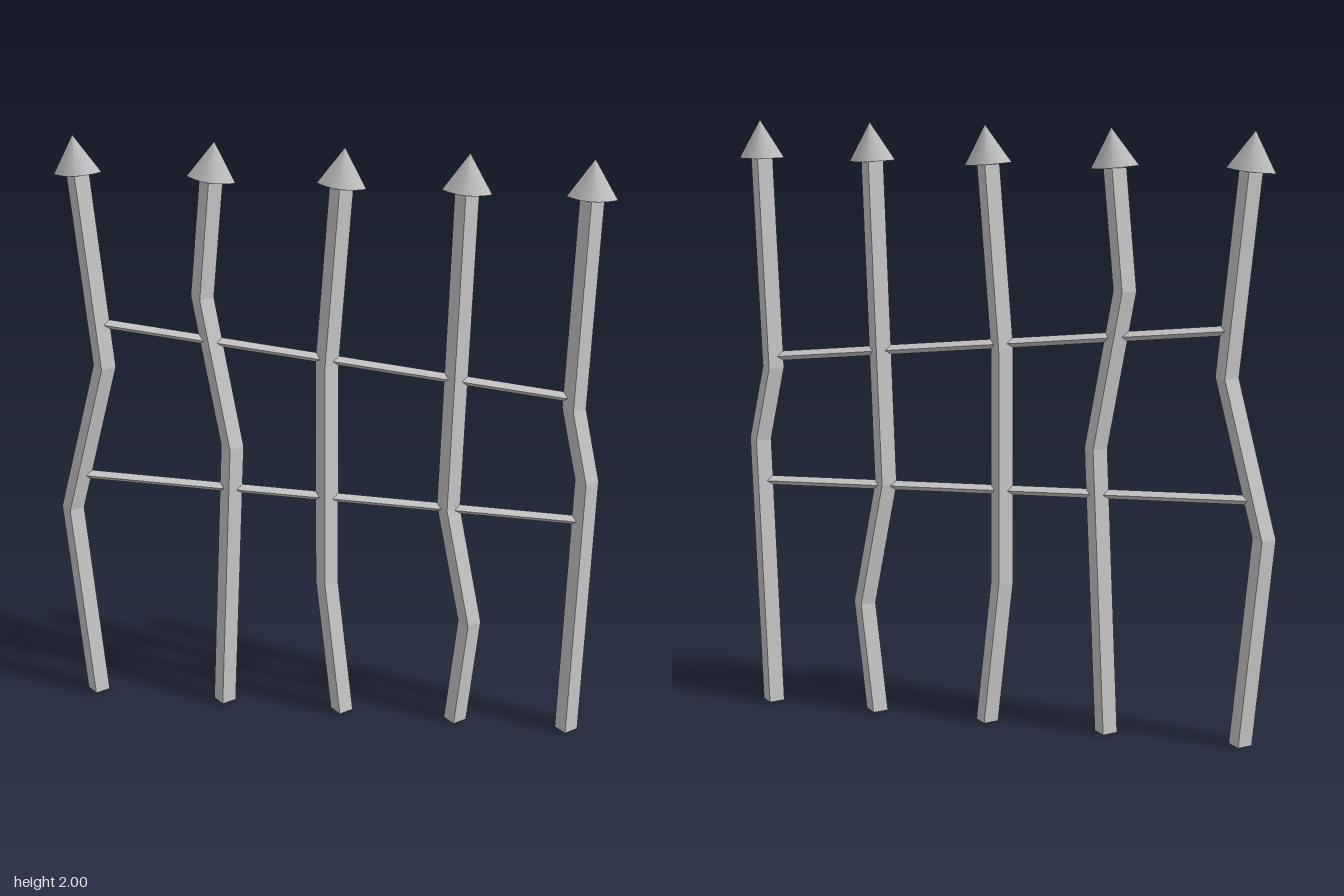
import * as THREE from 'three';
import { toCreasedNormals } from 'three/addons/utils/BufferGeometryUtils.js';

// Closed solid through rings of points (each counterclockwise seen from above).
function loft(rings) {
  const pos = [];
  const tri = (a, b, c) => {
    const area = new THREE.Triangle(a, b, c).getArea();
    if (area > 1e-9) pos.push(...a.toArray(), ...b.toArray(), ...c.toArray());
  };
  const n = rings[0].length;
  for (let k = 0; k + 1 < rings.length; k++) {
    for (let i = 0; i < n; i++) {
      const j = (i + 1) % n, lo = rings[k], hi = rings[k + 1];
      tri(lo[i], lo[j], hi[j]);
      tri(lo[i], hi[j], hi[i]);
    }
  }
  const first = rings[0], last = rings[rings.length - 1];
  for (let i = 1; i + 1 < n; i++) {
    tri(first[0], first[i + 1], first[i]);
    tri(last[0], last[i], last[i + 1]);
  }
  const g = new THREE.BufferGeometry();
  g.setAttribute('position', new THREE.Float32BufferAttribute(pos, 3));
  g.computeVertexNormals();
  return g;
}

// Diamond section of a bent bar, kept level.
const R = 0.038;
const diamond = ([x, y]) => [[R, 0], [0, -R], [-R, 0], [0, R]]
  .map(([dx, z]) => new THREE.Vector3(x + dx, y, z));

// Lens-shaped section of a spear head: sharp at the sides, rounded front and back.
function lens(y, scale) {
  const pts = [], n = 8;
  for (let i = 0; i < 2 * n; i++) {
    const back = i < n;
    const t = back ? 1 - (2 * i) / n : -1 + (2 * (i - n)) / n;
    const z = 0.038 * (1 - t * t) * (back ? -1 : 1);
    pts.push(new THREE.Vector3(0.079 * t * scale, y, z * scale));
  }
  return pts;
}

// Each bar's centre line, ending where the head sits, then the head's tip.
const BARS = [
  [[-0.812, 0], [-0.873, 0.7], [-0.742, 1.22], [-0.803, 1.875], [-0.815, 2]],
  [[-0.36, 0], [-0.317, 0.965], [-0.407, 1.483], [-0.37, 1.875], [-0.357, 2]],
  [[0.052, 0], [0, 0.49], [0, 1.28], [0.046, 1.875], [0.057, 2]],
  [[0.445, 0], [0.485, 0.38], [0.405, 0.8], [0.439, 1.875], [0.446, 2]],
  [[0.825, 0], [0.852, 0.927], [0.8, 1.176], [0.824, 1.875], [0.828, 2]],
];

// Start and end of the crossing rails.
const RAILS = [
  [[-0.755, 1.372], [0.8, 1.212]],
  [[-0.84, 0.826], [0.845, 0.783]],
];

export function createModel() {
  const model = new THREE.Group();
  model.name = 'crookedFence';
  const flat = new THREE.MeshStandardMaterial({ color: 0xcccccc, flatShading: true });
  const smooth = new THREE.MeshStandardMaterial({ color: 0xcccccc });

  // Bent upright bars with spear heads
  BARS.forEach((path, i) => {
    const post = new THREE.Group();
    post.name = `post${i + 1}`;
    const bar = new THREE.Mesh(loft(path.slice(0, -1).map(diamond)), flat);
    bar.name = 'bar';

    const [[bx, by], [tx, ty]] = path.slice(-2);
    const h = Math.hypot(tx - bx, ty - by);
    const head = new THREE.Mesh(toCreasedNormals(loft([lens(0, 1), lens(h, 0)]), 0.6), smooth);
    head.name = 'spearHead';
    head.position.set(bx, by, 0);
    head.rotation.z = -Math.atan2(tx - bx, ty - by);
    post.add(bar, head);
    model.add(post);
  });

  // Thin four-sided rails
  RAILS.forEach(([[ax, ay], [bx, by]], i) => {
    const len = Math.hypot(bx - ax, by - ay);
    const rail = new THREE.Mesh(new THREE.CylinderGeometry(0.016, 0.016, len, 4), flat);
    rail.name = i === 0 ? 'upperRail' : 'lowerRail';
    rail.position.set((ax + bx) / 2, (ay + by) / 2, 0);
    rail.rotation.z = Math.atan2(by - ay, bx - ax) - Math.PI / 2;
    model.add(rail);
  });

  return model;
}
